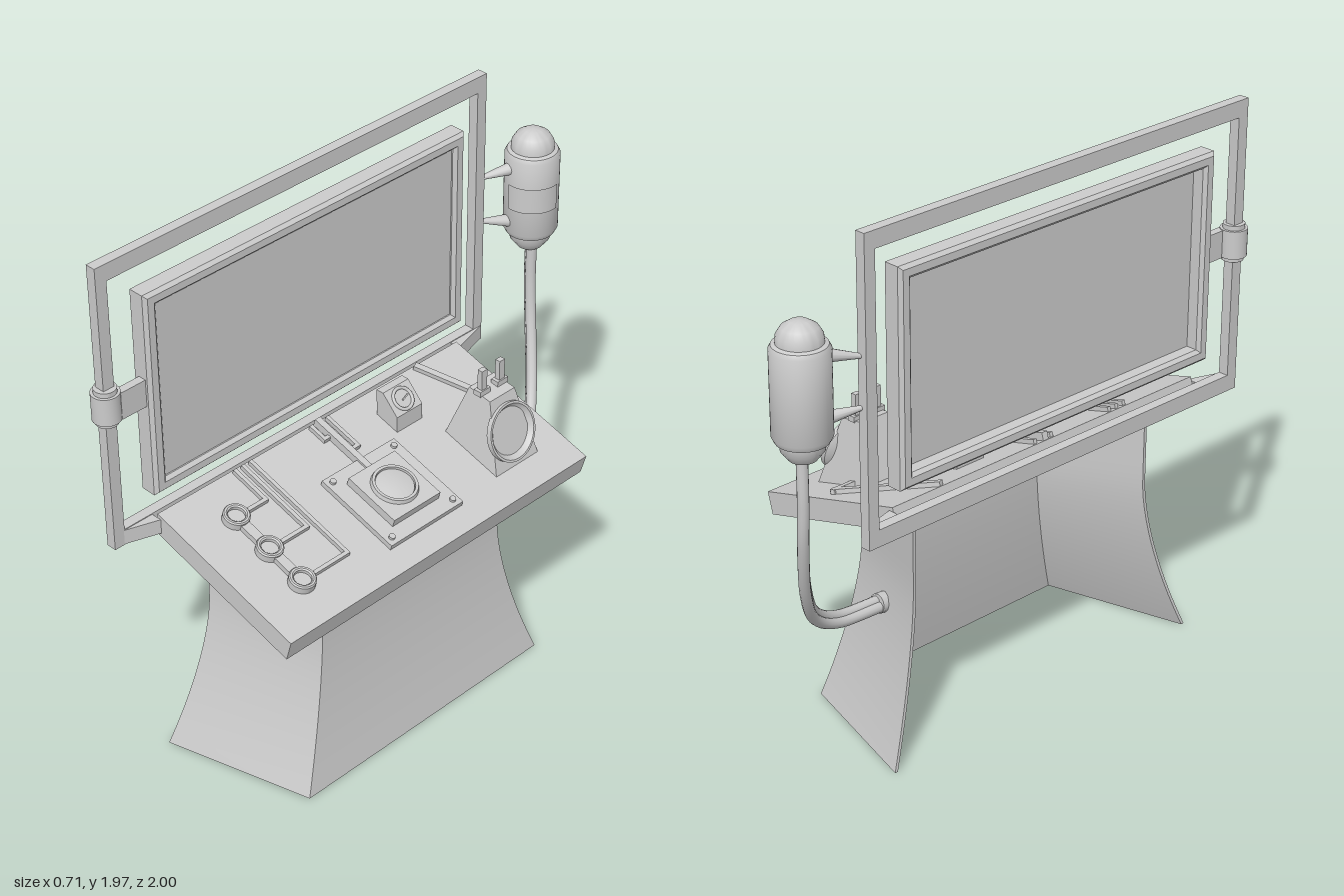
import * as THREE from 'three';
import { toCreasedNormals } from 'three/addons/utils/BufferGeometryUtils.js';

const grey = new THREE.MeshStandardMaterial({ color: 0xcccccc });
const thin = new THREE.MeshStandardMaterial({ color: 0xcccccc, side: THREE.DoubleSide });
const V = (x, y, z) => new THREE.Vector3(x, y, z);
const UP = V(0, 1, 0);

function add(parent, name, geo, x = 0, y = 0, z = 0, mat = grey) {
  const m = new THREE.Mesh(geo, mat);
  m.name = name;
  m.position.set(x, y, z);
  parent.add(m);
  return m;
}
const box = (parent, name, w, h, d, x, y, z) => add(parent, name, new THREE.BoxGeometry(w, h, d), x, y, z);
const lathe = (pts, n = 40) =>
  toCreasedNormals(new THREE.LatheGeometry(pts.map(p => new THREE.Vector2(...p)), n), 0.6);
const polygon = pts => new THREE.Shape(pts.map(p => new THREE.Vector2(...p)));
const rect = (a, b, c, d) => [[a, c], [b, c], [b, d], [a, d]];

// Rectangular ring standing in the z-y plane, extruded towards -x
function ring(outer, hole, opts) {
  const s = polygon(rect(...outer));
  s.holes.push(polygon(rect(...hole)));
  return new THREE.ExtrudeGeometry(s, { bevelEnabled: false, ...opts }).rotateY(-Math.PI / 2);
}

// Tapered rod between two points
function rod(parent, name, a, b, ra, rb) {
  const m = add(parent, name, new THREE.CylinderGeometry(rb, ra, a.distanceTo(b), 12));
  m.position.copy(a).add(b).multiplyScalar(0.5);
  m.quaternion.setFromUnitVectors(UP, b.clone().sub(a).normalize());
}

// Flared shell: front panel with two wings, open at the back
function pedestalGeometry() {
  const rows = 20, t = 0.012, pos = [], idx = [];
  const underside = x => 0.845 - 0.288 * x;
  for (let r = 0; r <= rows; r++) {
    const v = r / rows;
    const section = [[-0.2, -0.07, 0.548, 0.153, 0], [0.2, 0.07, 0.415, 0.14, 0],
      [0.2, 0.07, -0.415, -0.14, 0], [-0.2, -0.07, -0.548, -0.153, 0],
      [-0.2, -0.07, -0.548, -0.153, t], [0.2, 0.07, -0.415, -0.14, t],
      [0.2, 0.07, 0.415, 0.14, t], [-0.2, -0.07, 0.548, 0.153, t]];
    for (const [x0, fx, z0, fz, inset] of section) {
      const y = v * underside(x0);
      const f = Math.pow(Math.max(0, 1 - y / 0.6), 1.6);
      const x = x0 + fx * f, z = z0 + fz * f;
      pos.push(x > 0 ? x - inset : x, y, 0.117 + z - Math.sign(z) * inset);
    }
  }
  for (let r = 0; r < rows; r++) for (let i = 0; i < 8; i++) {
    const a = r * 8 + i, b = r * 8 + (i + 1) % 8;
    idx.push(a, b, a + 8, b, b + 8, a + 8);
  }
  for (let i = 0; i < 3; i++) idx.push(i, 7 - i, i + 1, i + 1, 7 - i, 6 - i);
  const g = new THREE.BufferGeometry();
  g.setAttribute('position', new THREE.Float32BufferAttribute(pos, 3));
  g.setIndex(idx);
  return toCreasedNormals(g, 0.4);
}

// Lamp housing: a box narrowed towards the top by moving its corners
function housingGeometry() {
  const g = new THREE.BoxGeometry(1, 1, 1), p = g.attributes.position;
  for (let i = 0; i < p.count; i++) {
    const front = p.getX(i) > 0, top = p.getY(i) > 0, side = Math.sign(p.getZ(i));
    const [x, y] = top ? (front ? [0.165, 1.085] : [0.07, 1.1]) : (front ? [0.245, 0.825] : [0, 0.895]);
    p.setXYZ(i, x, y, -0.345 + side * (top ? 0.06 : 0.104));
  }
  g.computeVertexNormals();
  return g;
}

export function createModel() {
  const root = new THREE.Group();
  root.name = 'controlConsole';
  add(root, 'pedestal', pedestalGeometry(), 0, 0, 0, thin);

  // Sloping desk; its group lies on the top surface
  const tilt = 0.281;
  const desk = new THREE.Group();
  desk.name = 'desk';
  desk.position.set(0.05, 0.8915, 0);
  desk.rotation.z = -tilt;
  root.add(desk);
  const lx = x => (x - 0.05) / Math.cos(tilt);
  box(desk, 'deskTop', 0.64, 0.08, 1.385, -0.008, -0.04, 0.117);

  // Raised conduits running over the desk
  const conduit = (pts, w = 0.014, h = 0.016) => {
    for (let i = 1; i < pts.length; i++) {
      const [x0, z0] = pts[i - 1], [x1, z1] = pts[i];
      const dx = lx(x1) - lx(x0), dz = z1 - z0;
      const m = box(desk, 'conduit', Math.hypot(dx, dz) + w, h, w, (lx(x0) + lx(x1)) / 2, h / 2, (z0 + z1) / 2);
      m.rotation.y = Math.atan2(-dz, dx);
    }
  };

  // Row of three ring buttons, each with its own conduit
  const buttonRing = lathe([[0.03, 0.006], [0.03, 0.026], [0.035, 0.03], [0.042, 0.03], [0.046, 0.025], [0.046, 0]]);
  [[-0.11, 0.485], [0.045, 0.45], [0.195, 0.415]].forEach(([x, z], i) => {
    add(desk, 'buttonRing', buttonRing, lx(x), 0, 0.615, thin);
    add(desk, 'button', new THREE.CylinderGeometry(0.03, 0.03, 0.014, 32), lx(x), 0.007, 0.615);
    conduit([[x, 0.575], [x, z], [-0.25, z]]);
    if (i) box(desk, 'buttonLink', 0.08, 0.02, 0.035, lx(x - 0.077), 0.01, 0.615);
  });

  // Central dial unit
  const cx = lx(0.1), cz = 0.113;
  box(desk, 'dialPlate', 0.335, 0.02, 0.335, cx, 0.01, cz);
  box(desk, 'dialBox', 0.22, 0.04, 0.215, cx, 0.03, cz);
  add(desk, 'dialRing', lathe([[0.068, 0.05], [0.068, 0.064], [0.078, 0.064], [0.082, 0.05]]), cx, 0, cz, thin);
  add(desk, 'dialCap', lathe([[0.068, 0.05], [0.066, 0.056], [0.04, 0.062], [0, 0.064]].reverse()), cx, 0, cz, thin);
  for (const sx of [-1, 1]) for (const sz of [-1, 1])
    add(desk, 'screw', new THREE.CylinderGeometry(0.011, 0.011, 0.01, 12), cx + sx * 0.142, 0.024, cz + sz * 0.142);
  conduit([[-0.25, 0.108], [0, 0.108]], 0.024, 0.028);
  conduit([[-0.25, 0.065], [-0.11, 0.065], [-0.11, 0.1]]);
  conduit([[-0.25, 0.14], [-0.19, 0.14], [-0.19, 0.115]]);
  conduit([[-0.25, -0.365], [0.07, -0.52], [0.07, -0.44]], 0.024);

  // Small wedge gauge
  const wedge = polygon([[-0.18, 0.94], [-0.083, 0.91], [-0.083, 0.99], [-0.15, 1.058], [-0.18, 1.058]]);
  add(root, 'gaugeBody', new THREE.ExtrudeGeometry(wedge, { depth: 0.12, bevelEnabled: false }), 0, 0, -0.218);
  const gauge = add(root, 'gaugeRim', new THREE.TorusGeometry(0.038, 0.006, 8, 32), -0.115, 1.025, -0.158);
  gauge.rotation.set(-Math.PI / 4, Math.PI / 2, 0, 'YXZ');
  box(gauge, 'gaugeNeedle', 0.032, 0.005, 0.006, 0.01, 0, 0.002).rotation.z = 0.3;

  // Lamp with concave dish and two switch tabs
  add(root, 'lampHousing', housingGeometry());
  const dish = add(root, 'lampDish', lathe([[0, -0.04], [0.04, -0.034], [0.075, -0.018], [0.097, 0.008],
    [0.105, 0.008], [0.105, -0.012], [0.085, -0.03], [0, -0.05]], 48), 0.212, 0.958, -0.345, thin);
  dish.rotation.z = -Math.PI / 2 + 0.32;
  for (const z of [-0.3, -0.385]) {
    box(root, 'switchBase', 0.03, 0.02, 0.05, 0.115, 1.1, z);
    box(root, 'switchTab', 0.02, 0.08, 0.025, 0.115, 1.145, z);
  }

  // Outer frame, with wedge arms at the desk
  add(root, 'outerFrame', ring([-0.73, 0.97, 0.91, 1.97], [-0.688, 0.927, 0.97, 1.91], { depth: 0.038 }), -0.291);
  for (const [z0, z1] of [[-0.73, -0.575], [0.93, 0.81]]) {
    const arm = new THREE.ExtrudeGeometry(polygon([[-0.3, z0], [-0.3, z1], [-0.25, z1], [-0.291, z0]]),
      { depth: 0.055, bevelEnabled: false }).rotateX(Math.PI / 2);
    add(root, 'frameArm', arm, 0, 0.967, 0, thin);
  }

  // Screen: bevelled bezel with a panel set near its front
  add(root, 'screenBezel', ring([-0.578, 0.808, 1.076, 1.808], [-0.552, 0.782, 1.102, 1.782],
    { depth: 0.056, bevelEnabled: true, bevelSize: 0.012, bevelThickness: 0.012, bevelSegments: 1 }), -0.262);
  box(root, 'screenPanel', 0.01, 0.69, 1.34, -0.272, 1.442, 0.115);

  // Hinge clamp round the frame post
  add(root, 'hingeClamp', lathe([[0, 1.395], [0.038, 1.395], [0.038, 1.41], [0.048, 1.41], [0.048, 1.51],
    [0.038, 1.51], [0.038, 1.527], [0, 1.527]], 24), -0.308, 0, 0.95);
  box(root, 'hingePlate', 0.03, 0.1, 0.11, -0.285, 1.457, 0.865);

  // Canister on two spiked brackets
  const tx = -0.23, tz = -0.903;
  add(root, 'canister', lathe([[0, 1.25], [0.045, 1.258], [0.07, 1.29], [0.073, 1.315], [0.086, 1.32],
    [0.096, 1.34], [0.096, 1.625], [0.088, 1.64], [0.075, 1.645], [0.073, 1.67], [0.058, 1.695],
    [0.03, 1.713], [0, 1.717]], 48), tx, 0, tz);
  const cover = new THREE.CylinderGeometry(0.102, 0.102, 0.095, 24, 1, true, -0.15, 1.9);
  add(root, 'canisterCover', cover, tx, 1.485, tz, thin);
  for (const s of [-1, 1])
    rod(root, 'canisterBracket', V(-0.305, 1.48 + s * 0.085, -0.72), V(-0.25, 1.48 + s * 0.105, -0.83), 0.007, 0.024);

  // Twin hose from canister to pedestal
  const path = [[-0.22, 1.27, -0.9], [-0.22, 1.1, -0.9], [-0.2, 0.95, -0.888], [-0.13, 0.72, -0.825],
    [-0.06, 0.567, -0.73], [-0.02, 0.487, -0.605], [0, 0.455, -0.38]];
  for (const s of [-1, 1]) {
    const curve = new THREE.CatmullRomCurve3(path.map(([x, y, z]) => V(x + s * 0.01, y + s * 0.006, z + s * 0.008)));
    add(root, 'hose', new THREE.TubeGeometry(curve, 60, 0.019, 12));
  }
  rod(root, 'hoseCollar', V(0, 0.455, -0.375), V(0, 0.459, -0.412), 0.035, 0.035);

  return root;
}
